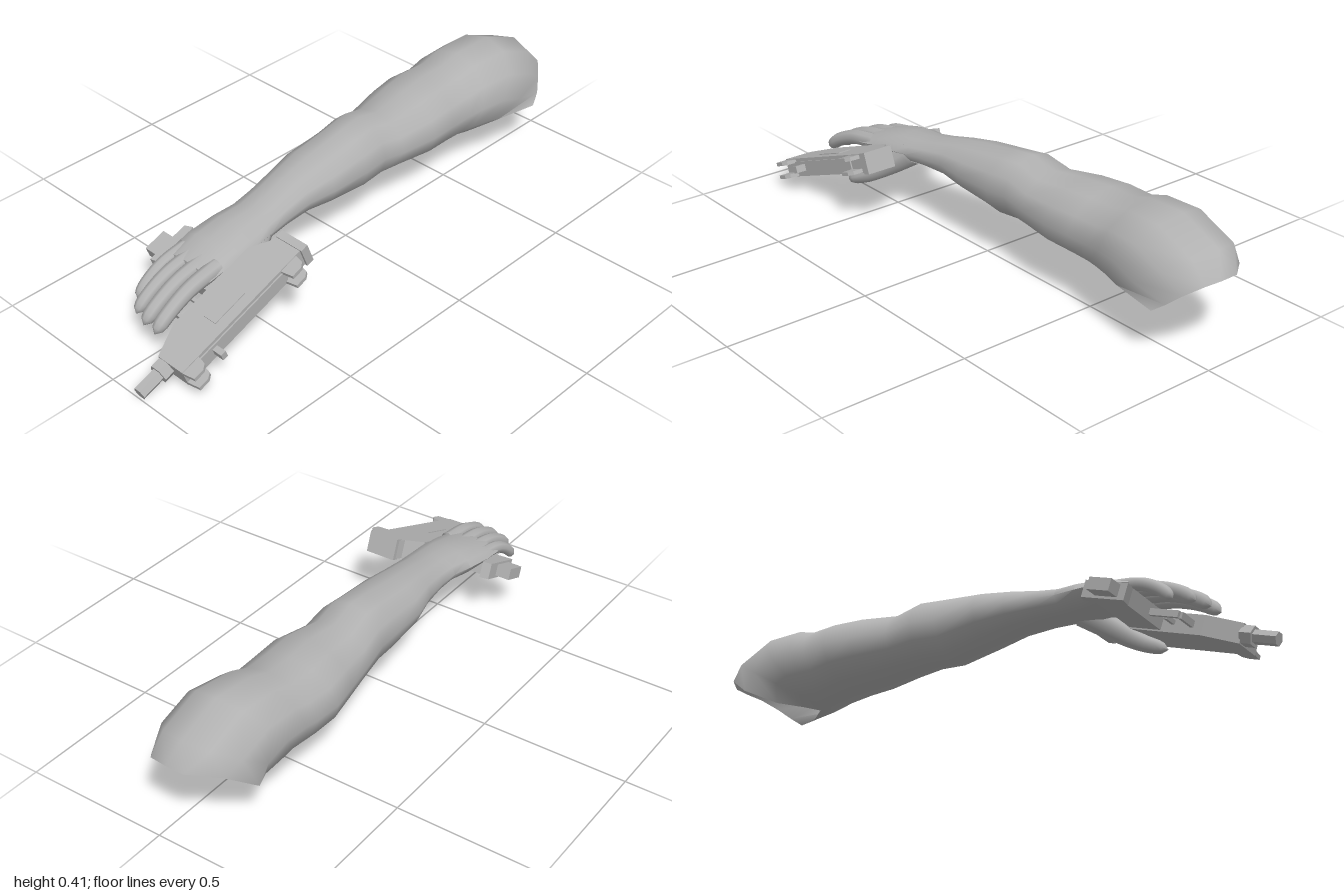
import * as THREE from 'three';
import { toCreasedNormals } from 'three/addons/utils/BufferGeometryUtils.js';

const grey = new THREE.MeshStandardMaterial({ color: 0xb2b2b2, side: THREE.DoubleSide });
grey.name = 'plain grey';

function add(parent, name, geometry, x = 0, y = 0, z = 0) {
  const mesh = new THREE.Mesh(geometry, grey);
  mesh.name = name;
  mesh.position.set(x, y, z);
  parent.add(mesh);
  return mesh;
}

// Box given by its limits on each axis
function block(parent, name, [x0, x1], [y0, y1], [z0, z1]) {
  return add(parent, name, new THREE.BoxGeometry(x1 - x0, y1 - y0, z1 - z0),
    (x0 + x1) / 2, (y0 + y1) / 2, (z0 + z1) / 2);
}

// Outline in x and z, given a thickness along y
function plate(parent, name, outline, thickness) {
  const shape = new THREE.Shape(outline.map(([x, z]) => new THREE.Vector2(x, z)));
  const g = new THREE.ExtrudeGeometry(shape, { depth: thickness, bevelEnabled: false });
  g.rotateX(Math.PI / 2).translate(0, thickness / 2, 0);
  return add(parent, name, g);
}

// Arm and palm: oval sections from the knuckles to the slanted open shoulder
function armGeometry() {
  const sides = 12;
  // x at top, x at bottom, top y, bottom y, front z, back z
  const sections = [
    [-0.65, -0.65, 0.235, 0.185, 0.055, -0.15],
    [-0.56, -0.56, 0.265, 0.19, 0.057, -0.16],
    [-0.46, -0.46, 0.288, 0.19, 0.056, -0.152],
    [-0.38, -0.38, 0.297, 0.2, 0.05, -0.14],
    [-0.3, -0.3, 0.312, 0.203, 0.043, -0.145],
    [-0.2, -0.2, 0.335, 0.198, 0.04, -0.16],
    [-0.1, -0.1, 0.352, 0.18, 0.05, -0.185],
    [0.05, 0.05, 0.375, 0.155, 0.05, -0.19],
    [0.14, 0.14, 0.385, 0.163, 0.05, -0.2],
    [0.23, 0.23, 0.36, 0.158, 0.053, -0.212],
    [0.37, 0.35, 0.382, 0.148, 0.075, -0.24],
    [0.48, 0.44, 0.386, 0.141, 0.07, -0.258],
    [0.58, 0.52, 0.388, 0.133, 0.066, -0.25],
    [0.65, 0.56, 0.412, 0.131, 0.08, -0.25],
    [0.8, 0.59, 0.42, 0.134, 0.1, -0.248],
    [0.95, 0.61, 0.36, 0.137, 0.105, -0.242],
  ];
  const shoulderRim = [
    0.99, 0.284, -0.04, 0.985, 0.284, 0.02, 0.94, 0.25, 0.06, 0.9, 0.215, 0.09,
    0.86, 0.185, 0.105, 0.74, 0.16, 0.04, 0.63, 0.14, -0.02, 0.67, 0.14, -0.1,
    0.72, 0.14, -0.18, 0.82, 0.19, -0.238, 0.92, 0.265, -0.195, 0.99, 0.284, -0.105,
  ];
  const pos = [], index = [];
  for (const [xt, xb, yt, yb, zf, zb] of sections) {
    for (let k = 0; k < sides; k++) {
      const a = (k / sides) * Math.PI * 2;
      const up = (1 + Math.cos(a)) / 2, front = (1 + Math.sin(a)) / 2;
      pos.push(xb + (xt - xb) * up, yb + (yt - yb) * up, zb + (zf - zb) * front);
    }
  }
  pos.push(...shoulderRim);
  for (let i = 0; i < sections.length; i++) {
    for (let k = 0; k < sides; k++) {
      const a = i * sides + k, b = i * sides + ((k + 1) % sides);
      index.push(a, b, a + sides, b, b + sides, a + sides);
    }
  }
  // Knuckle end
  for (let k = 1; k < sides - 1; k++) index.push(0, k + 1, k);
  const g = new THREE.BufferGeometry();
  g.setAttribute('position', new THREE.Float32BufferAttribute(pos, 3));
  g.setIndex(index);
  return toCreasedNormals(g, 1.0);
}

// Tapered tube with a rounded tip
function fingerGeometry(points, r0, r1) {
  const curve = new THREE.CatmullRomCurve3(points.map((p) => new THREE.Vector3(...p)));
  const steps = 16, sides = 8;
  const g = new THREE.TubeGeometry(curve, steps, 1, sides);
  const p = g.attributes.position, v = new THREE.Vector3();
  for (let i = 0; i <= steps; i++) {
    const t = i / steps, c = curve.getPointAt(t);
    const tip = Math.max(0, (t - 0.85) / 0.15);
    const r = (r0 + (r1 - r0) * t) * Math.sqrt(Math.max(0, 1 - tip * tip));
    for (let j = 0; j <= sides; j++) {
      const n = i * (sides + 1) + j;
      v.fromBufferAttribute(p, n).sub(c).multiplyScalar(r).add(c);
      p.setXYZ(n, v.x, v.y, v.z);
    }
  }
  return toCreasedNormals(g, 1.2);
}

// Faceted rod along x
function rod(parent, name, x0, x1, radius, z) {
  const g = new THREE.CylinderGeometry(radius, radius, x1 - x0, 6).rotateZ(Math.PI / 2);
  return add(parent, name, toCreasedNormals(g, 0.3), (x0 + x1) / 2, 0, z);
}

// Weapon lying on its side: muzzle towards -x, sights towards +z, grip towards -z
function buildWeapon() {
  const gun = new THREE.Group();
  gun.name = 'weapon';
  plate(gun, 'receiver', [
    [-0.31, 0.1], [-0.2, 0.055], [0.13, 0.055], [0.19, 0.1], [0.22, 0.105],
    [0.22, 0.207], [-0.31, 0.207],
  ], 0.066);
  block(gun, 'rearPlate', [0.208, 0.236], [-0.037, 0.037], [0.105, 0.215]);
  block(gun, 'topRail', [-0.25, 0.13], [-0.022, 0.022], [0.205, 0.212]);
  block(gun, 'sidePort', [-0.13, 0.0], [0.031, 0.036], [0.12, 0.17]);
  rod(gun, 'barrelNut', -0.345, -0.305, 0.034, 0.122);
  rod(gun, 'barrel', -0.425, -0.34, 0.023, 0.122);
  block(gun, 'cockingKnob', [-0.195, -0.175], [-0.012, 0.012], [0.205, 0.25]);

  // Sight ears, one pair at each end
  for (const [name, x] of [['rearSightEar', 0.155], ['frontSightEar', -0.275]]) {
    for (const side of [-1, 1]) {
      const ear = plate(gun, name, [
        [x - 0.035, 0.205], [x + 0.035, 0.205], [x + 0.028, 0.24], [x + 0.01, 0.252], [x - 0.028, 0.252],
      ], 0.013);
      ear.position.y = side * 0.024;
    }
  }

  // Grip, magazine and trigger
  plate(gun, 'grip', [
    [-0.055, 0.06], [0.06, 0.06], [0.055, -0.155], [0.095, -0.165],
    [0.085, -0.195], [-0.07, -0.195], [-0.06, -0.15],
  ], 0.056);
  block(gun, 'magazine', [-0.045, 0.035], [-0.02, 0.02], [-0.247, -0.19]);
  block(gun, 'trigger', [-0.1, -0.088], [-0.007, 0.007], [0.005, 0.06]);
  block(gun, 'guardFront', [-0.168, -0.156], [-0.011, 0.011], [-0.02, 0.06]);
  block(gun, 'guardBottom', [-0.16, -0.05], [-0.011, 0.011], [-0.032, -0.02]);

  gun.position.set(-0.6, 0.178, 0);
  gun.rotation.z = THREE.MathUtils.degToRad(20.3);
  return gun;
}

export function createModel() {
  const model = new THREE.Group();
  model.name = 'armHoldingWeapon';
  add(model, 'arm', armGeometry());

  // Fingers: base z, tip z, tip x, radius
  const fingers = [
    ['indexFinger', 0.024, 0.036, -0.86, 0.029],
    ['middleFinger', -0.028, -0.02, -0.855, 0.029],
    ['ringFinger', -0.078, -0.078, -0.835, 0.027],
    ['littleFinger', -0.122, -0.13, -0.785, 0.024],
  ];
  for (const [name, z0, z1, x1, r] of fingers) {
    const len = x1 + 0.6;
    add(model, name, fingerGeometry([
      [-0.59, 0.222, z0],
      [-0.6 + len * 0.45, 0.202, (z0 + z1) / 2],
      [-0.6 + len * 0.82, 0.16, z1],
      [x1, 0.122, z1],
    ], r, r * 0.78));
  }
  add(model, 'thumb', fingerGeometry([
    [-0.4, 0.24, 0.005], [-0.47, 0.185, 0.045], [-0.55, 0.13, 0.09], [-0.635, 0.09, 0.115],
  ], 0.046, 0.02));

  model.add(buildWeapon());
  return model;
}
